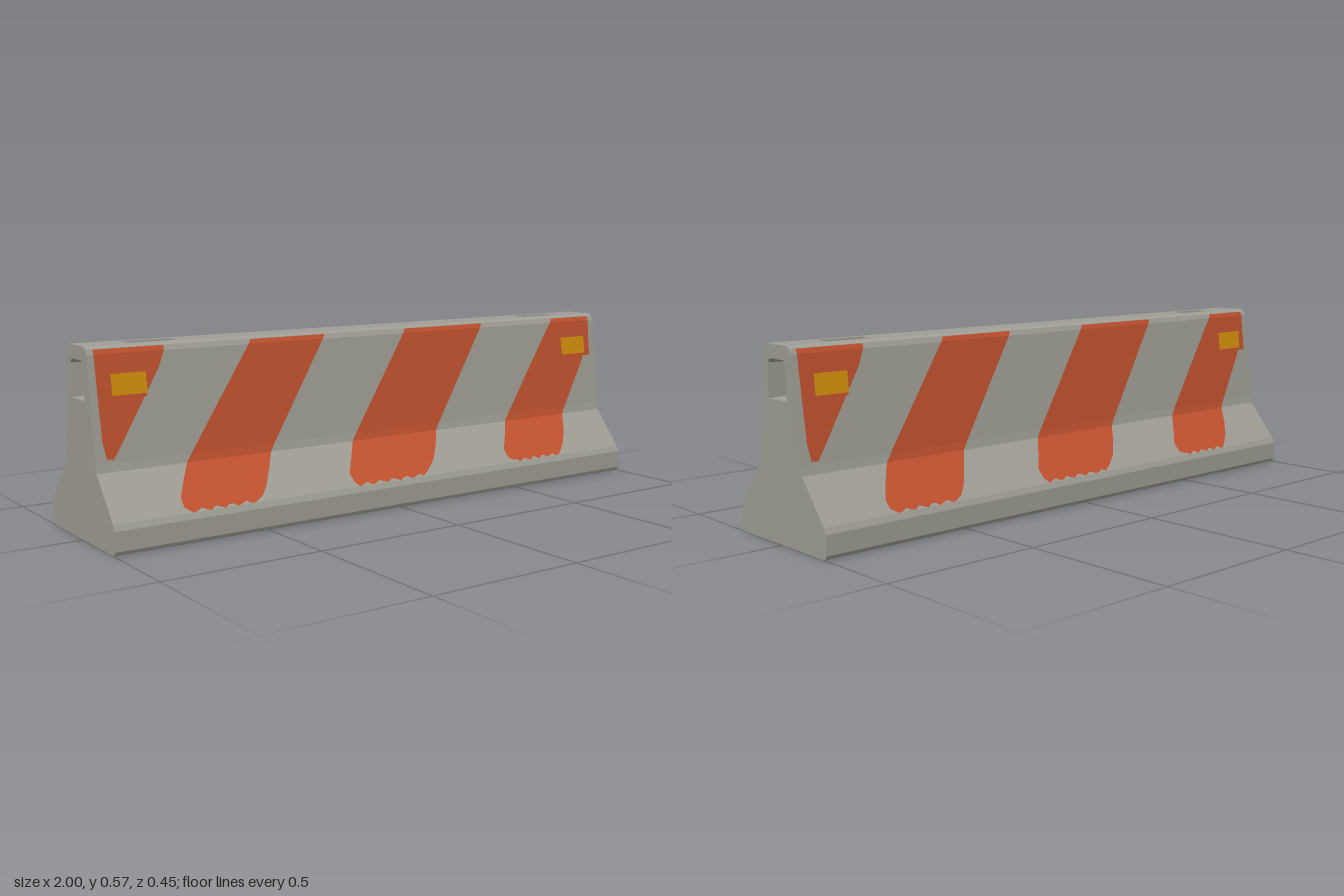
import * as THREE from 'three';
import { mergeGeometries } from 'three/addons/utils/BufferGeometryUtils.js';

const concrete = new THREE.MeshStandardMaterial({ color: 0xa09e95 });
concrete.name = 'concrete grey';
const paint = new THREE.MeshStandardMaterial({ color: 0xc2522f });
paint.name = 'warning orange red';
const amber = new THREE.MeshStandardMaterial({ color: 0xd4900c });
amber.name = 'reflector amber';

// Front half of the cross-section as [z, y], top to bottom
const HALF = [
  [0.052, 0.57], [0.065, 0.563], [0.072, 0.547], [0.108, 0.24], [0.113, 0.215],
  [0.215, 0.09], [0.223, 0.072], [0.223, 0.013], [0.219, 0.004], [0.21, 0],
];
const PROFILE = [...HALF, ...HALF.slice().reverse().map(([z, y]) => [-z, y])];

// Depth of the front wall at height y
function wallZ(y) {
  for (let i = 1; i < HALF.length; i++) {
    const [z0, y0] = HALF[i - 1], [z1, y1] = HALF[i];
    if (y >= y1) return z0 + (z1 - z0) * (y0 - y) / (y0 - y1);
  }
  return HALF[HALF.length - 1][0];
}

// Flat-shaded surface through rows of points
function grid(rows) {
  const pos = [];
  for (let i = 0; i + 1 < rows.length; i++) {
    for (let j = 0; j + 1 < rows[i].length; j++) {
      const a = rows[i][j], b = rows[i][j + 1], c = rows[i + 1][j], d = rows[i + 1][j + 1];
      pos.push(...a, ...c, ...b, ...b, ...c, ...d);
    }
  }
  const g = new THREE.BufferGeometry();
  g.setAttribute('position', new THREE.Float32BufferAttribute(pos, 3));
  g.computeVertexNormals();
  return g;
}

const toShape = (pts) => new THREE.Shape(pts.map(([x, y]) => new THREE.Vector2(x, y)));

function flat(shape) {
  const g = new THREE.ShapeGeometry(shape).toNonIndexed();
  g.deleteAttribute('uv');
  return g;
}

// Plate facing +z with tapered blind recesses; each hole loop runs counter-clockwise
function recessedPlate(outline, holes, depth) {
  const shape = toShape(outline);
  const parts = [];
  for (const loop of holes) {
    shape.holes.push(new THREE.Path(loop.map(([x, y]) => new THREE.Vector2(x, y))));
    const cx = loop.reduce((s, p) => s + p[0], 0) / loop.length;
    const cy = loop.reduce((s, p) => s + p[1], 0) / loop.length;
    const inner = loop.map(([x, y]) => [cx + (x - cx) * 0.94, cy + (y - cy) * 0.94]);
    const close = (pts, z) => [...pts, pts[0]].map(([x, y]) => [x, y, z]);
    parts.push(grid([close(inner, -depth), close(loop, 0)]));
    parts.push(flat(toShape(inner)).translate(0, 0, -depth));
  }
  return mergeGeometries([flat(shape), ...parts]);
}

function add(parent, name, geometry, material) {
  const mesh = new THREE.Mesh(geometry, material);
  mesh.name = name;
  parent.add(mesh);
  return mesh;
}

// Painted band on the front wall; edges are [y, left, right] from top to bottom
function stripe(edges, ragged, seed) {
  const ys = [0.561, 0.547, 0.5, 0.4, 0.3, 0.24, 0.215, 0.17, 0.13, 0.105];
  const bottom = edges[edges.length - 1][0];
  const levels = [...ys.filter((y) => y > bottom + 0.005), bottom];
  const N = 16;
  const rows = levels.map((y, r) => {
    let k = 1;
    while (k < edges.length - 1 && y < edges[k][0]) k++;
    const [y0, l0, r0] = edges[k - 1], [y1, l1, r1] = edges[k];
    const t = (y0 - y) / (y0 - y1);
    const L = l0 + (l1 - l0) * t, R = r0 + (r1 - r0) * t;
    return Array.from({ length: N + 1 }, (_, j) => {
      const last = r === levels.length - 1;
      const yy = y + (last ? ragged * Math.sin(j * 1.9 + seed) : 0);
      return [L + (R - L) * j / N, yy + 0.001, wallZ(yy) + 0.0025];
    });
  });
  return grid(rows);
}

// Stripes and reflectors of one long side
function buildSide(name) {
  const side = new THREE.Group();
  side.name = name;

  const bands = [
    [[[0.561, -0.98, -0.76], [0.52, -0.98, -0.77], [0.3, -0.975, -0.91], [0.25, -0.965, -0.945]], 0.003],
    [[[0.561, -0.47, -0.2], [0.17, -0.75, -0.46], [0.115, -0.785, -0.5], [0.094, -0.765, -0.53]], 0.005],
    [[[0.561, 0.12, 0.455], [0.17, -0.155, 0.19], [0.115, -0.195, 0.14], [0.094, -0.165, 0.09]], 0.005],
    [[[0.561, 0.79, 0.972], [0.47, 0.72, 0.972], [0.17, 0.5, 0.785], [0.115, 0.455, 0.74], [0.094, 0.49, 0.7]], 0.005],
  ];
  bands.forEach(([edges, ragged], i) => add(side, 'paintStripe', stripe(edges, ragged, i * 2.3), paint));

  for (const s of [-1, 1]) {
    const reflector = new THREE.Group();
    reflector.name = 'reflector';
    reflector.position.set(s * 0.8975, 0.457, wallZ(0.457));
    reflector.rotation.x = -0.118;
    add(reflector, 'reflectorMount', new THREE.BoxGeometry(0.135, 0.074, 0.016), paint);
    add(reflector, 'reflectorLens', new THREE.BoxGeometry(0.108, 0.062, 0.008), amber)
      .position.set(-s * 0.015, 0.003, 0.007);
    side.add(reflector);
  }
  return side;
}

export function createModel() {
  const model = new THREE.Group();
  model.name = 'roadBarrier';

  // Long walls and underside
  add(model, 'barrierBody', grid(PROFILE.map(([z, y]) => [[-1, y, z], [1, y, z]])), concrete);

  // Top face with two lifting slots
  const w = HALF[0][0];
  const slot = (a, b) => [[a, -0.028], [b, -0.028], [b, 0.028], [a, 0.028]];
  const top = recessedPlate([[-1, -w], [1, -w], [1, w], [-1, w]], [slot(-0.85, -0.69), slot(0.69, 0.85)], 0.03);
  add(model, 'topWithSlots', top.rotateX(-Math.PI / 2).translate(0, 0.57, 0), concrete);

  // End faces with coupling pockets
  const pocket = [[-0.047, 0.415], [0.047, 0.415], [0.045, 0.517], [0.036, 0.529], [-0.036, 0.529], [-0.045, 0.517]];
  for (const s of [-1, 1]) {
    const end = recessedPlate(PROFILE, [pocket], 0.08);
    add(model, s > 0 ? 'leftEnd' : 'rightEnd', end.rotateY(s * Math.PI / 2).translate(s, 0, 0), concrete);
  }

  // Both painted sides, the back being the front turned half round
  model.add(buildSide('frontMarkings'));
  const back = buildSide('backMarkings');
  back.rotation.y = Math.PI;
  model.add(back);
  return model;
}
